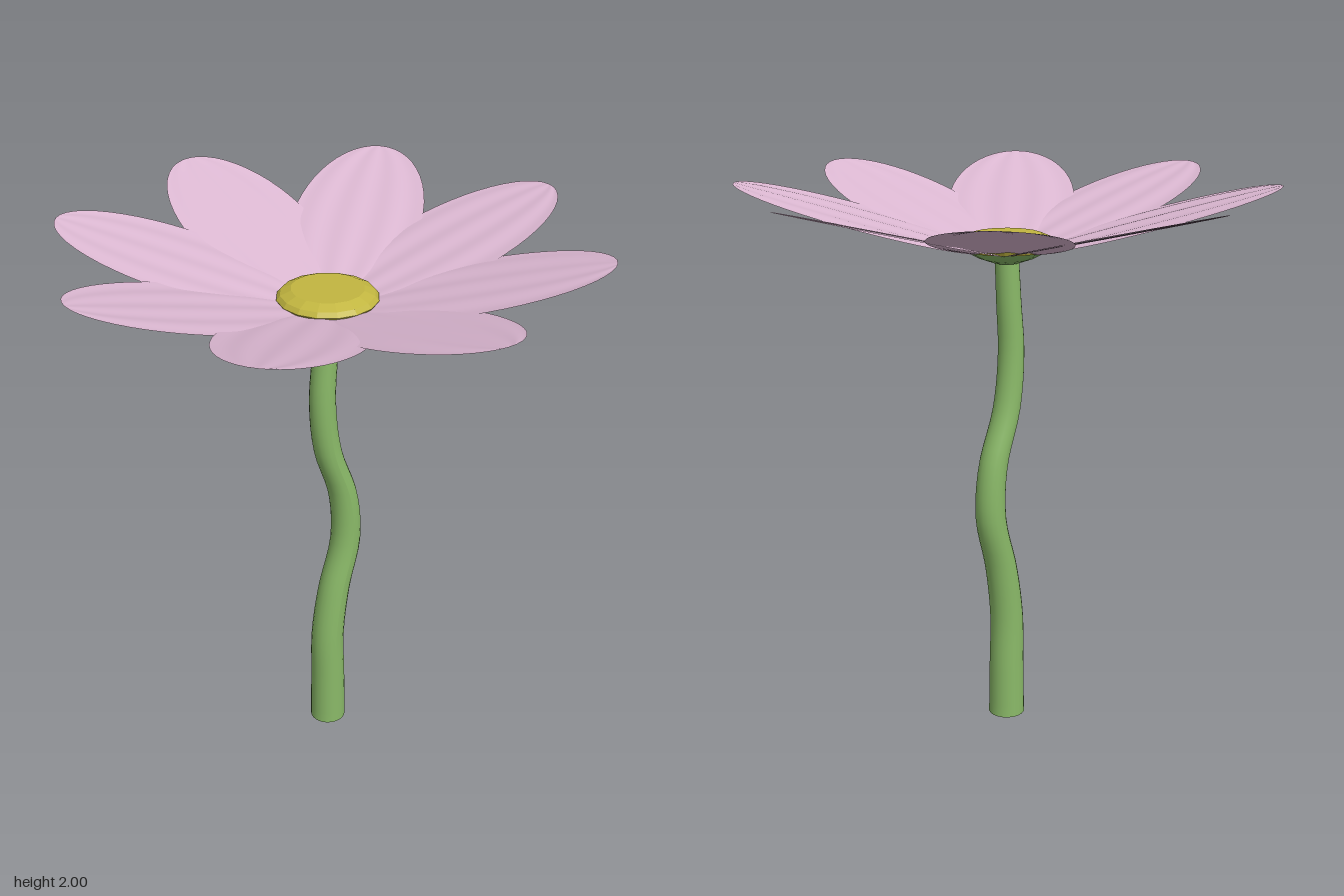
import * as THREE from 'three';

const PETALS = 8;

// Elliptical petal: rises outward in a straight slope, with very shallow lengthwise ripples
function petalGeometry() {
  const geo = new THREE.PlaneGeometry(1, 1, 32, 24);
  const pos = geo.attributes.position;
  for (let i = 0; i < pos.count; i++) {
    const across = pos.getX(i) * 2;
    const along = 0.5 - pos.getY(i);
    const swell = Math.sin(Math.PI * along);
    const r = 0.5 - 0.44 * Math.cos(Math.PI * along);
    const ripple = 0.0025 * Math.sin(across * Math.PI * 3.5 + 0.6) * swell;
    pos.setXYZ(i, across * 0.235 * swell, 1.747 + 0.268 * r + ripple, r);
  }
  geo.computeVertexNormals();
  return geo;
}

// Tapered stem whose rings are shifted sideways along a wavy curve
function stemGeometry() {
  const height = 1.78;
  const offsets = [0, 0, 0, 0.028, 0.077, 0.065, 0, -0.022, -0.01, 0];
  const curve = new THREE.SplineCurve(offsets.map((x, i) => new THREE.Vector2(x, i * 0.2)));
  const geo = new THREE.CylinderGeometry(0.042, 0.067, height, 20, 40);
  geo.translate(0, height / 2, 0);
  const pos = geo.attributes.position;
  for (let i = 0; i < pos.count; i++) {
    const y = pos.getY(i);
    pos.setX(i, pos.getX(i) + curve.getPoint(y / 1.8).x);
  }
  geo.computeVertexNormals();
  return geo;
}

// Low-poly turned shape from [radius, height] pairs, bottom to top
function turned(profile, sides) {
  return new THREE.LatheGeometry(profile.map(([r, y]) => new THREE.Vector2(r, y)), sides);
}

export function createModel() {
  const petalPink = new THREE.MeshStandardMaterial({ color: 0xdcb8d2, side: THREE.DoubleSide });
  petalPink.name = 'petalPink';
  const stemGreen = new THREE.MeshStandardMaterial({ color: 0x8ab968 });
  stemGreen.name = 'stemGreen';
  const centreYellow = new THREE.MeshStandardMaterial({ color: 0xc2b640, flatShading: true });
  centreYellow.name = 'centreYellow';

  const flower = new THREE.Group();
  flower.name = 'flower';
  const add = (name, geometry, material, parent = flower) => {
    const mesh = new THREE.Mesh(geometry, material);
    mesh.name = name;
    parent.add(mesh);
    return mesh;
  };

  add('stem', stemGeometry(), stemGreen);

  // Green cup under the petals
  add('calyx', turned([[0, 1.727], [0.05, 1.73], [0.1, 1.748], [0.14, 1.77], [0.155, 1.786]], 16), stemGreen);

  // Ring of petals
  const petals = new THREE.Group();
  petals.name = 'petals';
  flower.add(petals);
  const petal = petalGeometry();
  for (let i = 0; i < PETALS; i++) {
    add('petal', petal, petalPink, petals).rotation.y = (i * Math.PI * 2) / PETALS;
  }

  // Faceted yellow centre with a flat top
  add('centre', turned([[0.165, 1.78], [0.175, 1.796], [0.162, 1.812], [0.125, 1.828], [0, 1.828]], 16), centreYellow);

  return flower;
}
